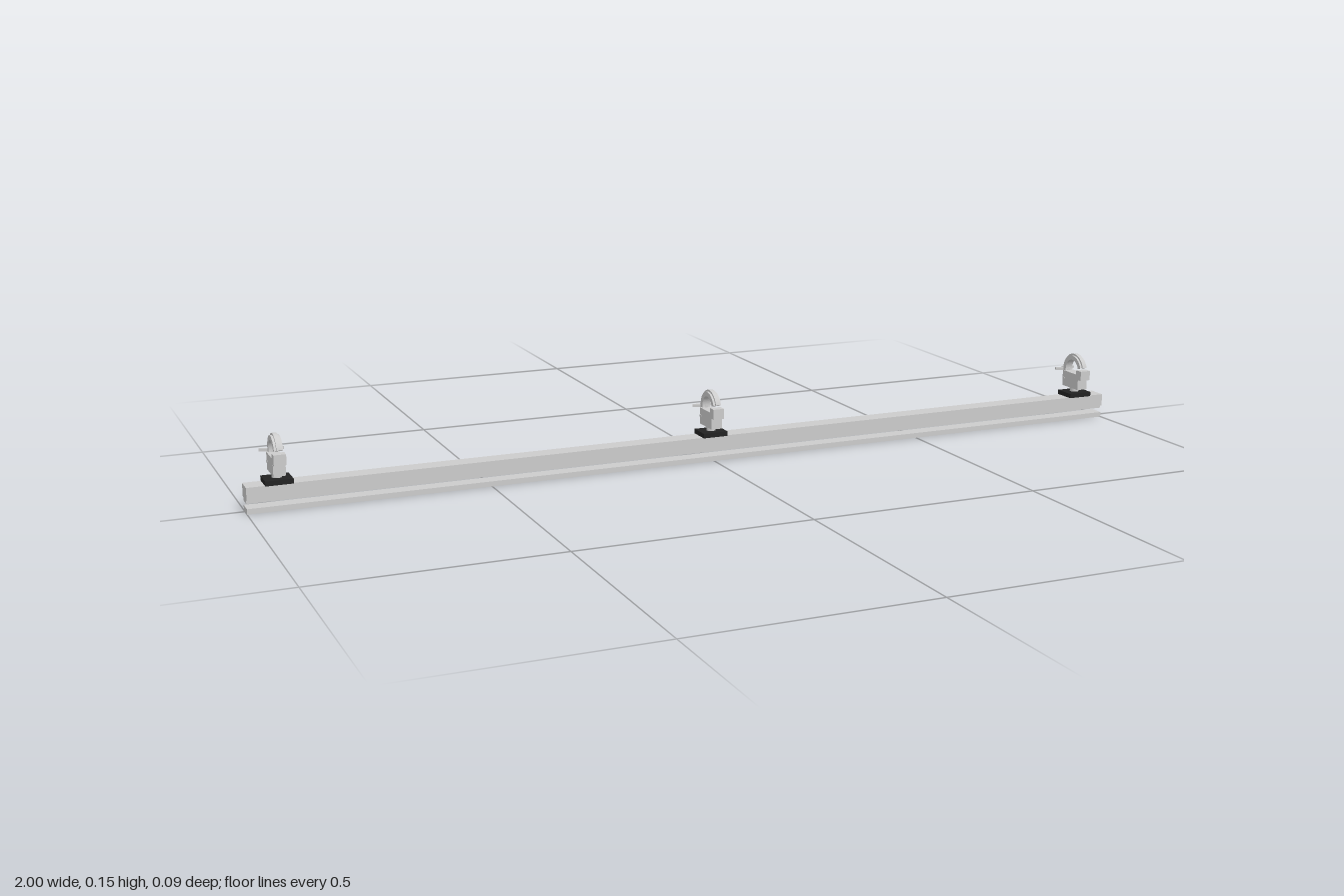
import * as THREE from 'three';

const grey = new THREE.MeshStandardMaterial({ color: 0xcccccc });
const black = new THREE.MeshStandardMaterial({ color: 0x222222 });

function add(parent, name, geometry, x, y, z, material = grey) {
  const mesh = new THREE.Mesh(geometry, material);
  mesh.name = name;
  mesh.position.set(x, y, z);
  parent.add(mesh);
  return mesh;
}

// Extrude a (z, y) outline along x, centred on x = 0
function extrudeX(shape, width, curveSegments = 24) {
  const g = new THREE.ExtrudeGeometry(shape, { depth: width, bevelEnabled: false, curveSegments });
  return g.translate(0, 0, -width / 2).rotateY(-Math.PI / 2);
}

const outline = (points) => new THREE.Shape(points.map(([z, y]) => new THREE.Vector2(z, y)));

// Closed band between two radii about the hook centre
function band(inner, outer, from, to) {
  const s = new THREE.Shape();
  s.absarc(0.005, 0.115, outer, from, to, false);
  s.absarc(0.005, 0.115, inner, to, from, true);
  s.closePath();
  return s;
}

function makeClamp() {
  const clamp = new THREE.Group();
  clamp.name = 'clamp';

  // Mounting plate and neck
  add(clamp, 'mountingPlate', new THREE.BoxGeometry(0.056, 0.01, 0.05), 0, 0.06, 0.006, black);
  add(clamp, 'neck', new THREE.CylinderGeometry(0.01, 0.01, 0.012, 20), 0, 0.07, 0.005);

  // Body with the front jaw and a saddle for the pipe
  const body = outline([[-0.026, 0.074], [0.036, 0.074], [0.036, 0.098], [0.047, 0.098],
    [0.047, 0.12], [0.028, 0.12], [0.028, 0.11], [-0.026, 0.11]]);
  add(clamp, 'body', extrudeX(body, 0.025), 0, 0, 0);

  // Hook arm with a raised central rib
  const start = 0.32, end = Math.PI + 0.45;
  add(clamp, 'hookArm', extrudeX(band(0.025, 0.035, start, end), 0.018), 0, 0, 0);
  add(clamp, 'hookRib', extrudeX(band(0.03, 0.039, start, end), 0.009), 0, 0, 0);

  // Hinge lug below the back of the hook
  const lug = outline([[-0.022, 0.08], [-0.027, 0.078], [-0.032, 0.092], [-0.031, 0.103], [-0.022, 0.103]]);
  add(clamp, 'hingeLug', extrudeX(lug, 0.014), 0, 0, 0);
  const pin = add(clamp, 'hingePin', new THREE.CylinderGeometry(0.0035, 0.0035, 0.027, 12), 0, 0.092, -0.022);
  pin.rotation.z = Math.PI / 2;

  // Wing bolt at the back
  const bolt = add(clamp, 'wingBolt', new THREE.CylinderGeometry(0.0035, 0.0035, 0.027, 14), 0, 0.112, -0.0325);
  bolt.rotation.x = Math.PI / 2;
  for (const side of [-1, 1]) {
    const wing = add(clamp, 'boltWing', new THREE.BoxGeometry(0.022, 0.006, 0.006), side * 0.014, 0.112, -0.036);
    wing.rotation.y = side * 0.35;
  }
  return clamp;
}

export function createModel() {
  const model = new THREE.Group();
  model.name = 'lightBar';

  // Stepped rail with a narrow foot
  const rail = outline([[-0.008, 0.021], [0.02, 0.021], [0.02, 0.028], [0.026, 0.028],
    [0.026, 0.055], [-0.015, 0.055], [-0.015, 0.028], [-0.008, 0.028]]);
  add(model, 'rail', extrudeX(rail, 2), 0, 0, 0);

  // Separate strip beneath the rail
  add(model, 'lightStrip', new THREE.BoxGeometry(2, 0.011, 0.034), 0, 0.0055, 0.006);

  for (const x of [-0.935, 0, 0.935]) {
    const clamp = makeClamp();
    clamp.position.x = x;
    model.add(clamp);
  }
  return model;
}
